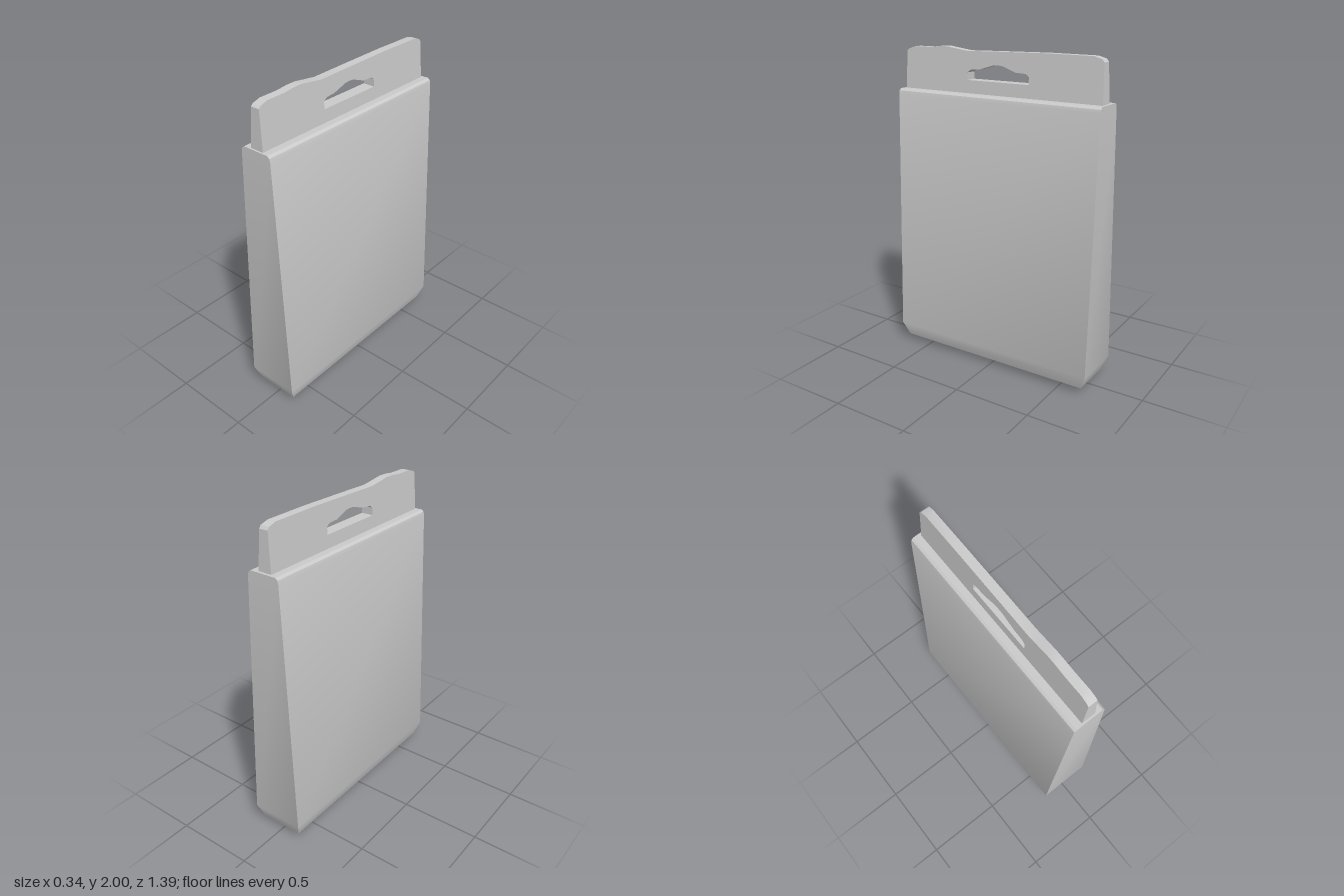
import * as THREE from 'three';
import { toCreasedNormals } from 'three/addons/utils/BufferGeometryUtils.js';

const material = new THREE.MeshStandardMaterial({ color: 0xcccccc });

// Tapered body: a segmented box whose rows follow [height, half width, half depth]
function createBody() {
  const rows = [
    [0, 0.05, 0.57], [0.04, 0.138, 0.66], [0.13, 0.168, 0.697],
    [1.7, 0.104, 0.697], [1.72, 0.099, 0.697], [1.732, 0.085, 0.697],
  ];
  const n = rows.length - 1;
  const geometry = new THREE.BoxGeometry(2, n, 2, 1, n, 1);
  const p = geometry.attributes.position;
  for (let i = 0; i < p.count; i++) {
    const [y, hx, hz] = rows[Math.round(p.getY(i) + n / 2)];
    p.setXYZ(i, Math.sign(p.getX(i)) * hx, y, Math.sign(p.getZ(i)) * hz);
  }
  const mesh = new THREE.Mesh(toCreasedNormals(geometry, 0.6), material);
  mesh.name = 'body';
  return mesh;
}

// Hanging tab: outline in (z, y) with a hanger slot, thinner towards the top
function createTab() {
  const points = (list) => list.map(([z, y]) => new THREE.Vector2(z, y));
  const outline = new THREE.Shape(points([
    [0.686, 1.72], [0.679, 1.962], [0.666, 1.975], [0.62, 1.99], [0.5, 1.991],
    [0.43, 1.999], [0.37, 2], [0.3, 1.99], [0.22, 1.98], [0, 1.985],
    [-0.32, 1.991], [-0.61, 1.99], [-0.66, 1.976], [-0.673, 1.96], [-0.68, 1.72],
  ]));
  outline.holes.push(new THREE.Path(points([
    [0.215, 1.81], [0.215, 1.855], [0.19, 1.872], [0.13, 1.876], [0.035, 1.904],
    [0, 1.907], [-0.035, 1.904], [-0.12, 1.873], [-0.19, 1.87], [-0.212, 1.855],
    [-0.212, 1.81],
  ])));
  const geometry = new THREE.ExtrudeGeometry(outline, { depth: 2, bevelEnabled: false });
  geometry.translate(0, 0, -1).rotateY(-Math.PI / 2);
  const p = geometry.attributes.position;
  for (let i = 0; i < p.count; i++) {
    const t = (p.getY(i) - 1.72) / 0.28;
    p.setX(i, Math.sign(p.getX(i)) * THREE.MathUtils.lerp(0.044, 0.026, t));
  }
  const mesh = new THREE.Mesh(toCreasedNormals(geometry, 0.6), material);
  mesh.name = 'hangingTab';
  return mesh;
}

export function createModel() {
  const group = new THREE.Group();
  group.name = 'hangingPouch';
  group.add(createBody(), createTab());
  return group;
}
